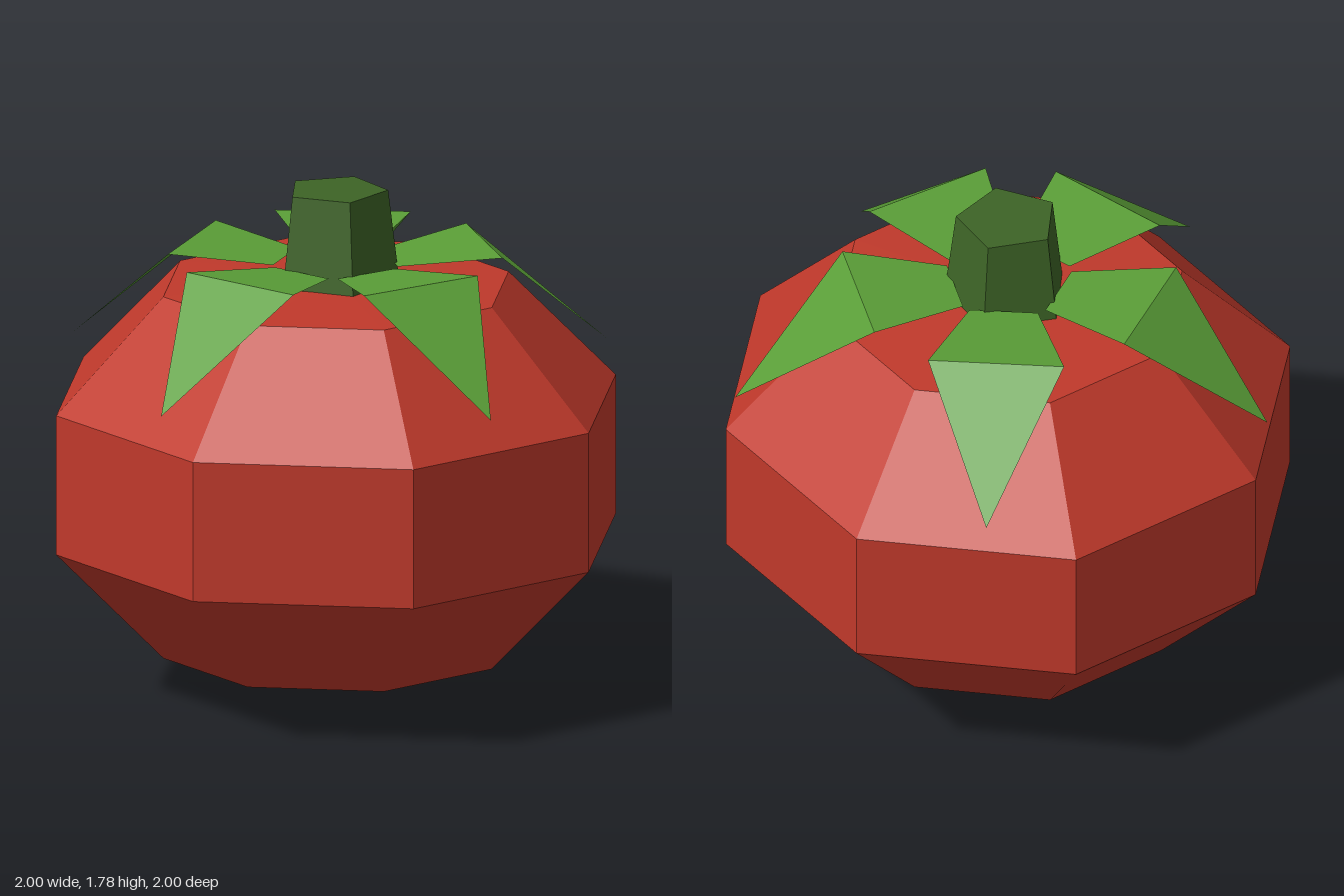
import * as THREE from 'three';

const flat = (color, name, side = THREE.FrontSide) =>
  Object.assign(new THREE.MeshStandardMaterial({ color, flatShading: true, side }), { name });

export function createModel() {
  const group = new THREE.Group();
  group.name = 'tomato';
  const red = flat(0xc0392b, 'tomato red');
  const leafGreen = flat(0x5a9e37, 'leaf green', THREE.DoubleSide);
  const stemGreen = flat(0x3d6426, 'stem green');

  // Fruit: eight-sided turned body, pointed underneath and nearly flat on top
  const profile = [[0, 0], [0.617, 0.155], [1, 0.553], [1, 1.05], [0.617, 1.447], [0, 1.468]]
    .map(([r, y]) => new THREE.Vector2(r, y));
  const fruit = new THREE.Mesh(new THREE.LatheGeometry(profile, 8), red);
  fruit.name = 'fruit';
  group.add(fruit);

  // Stem: tapered pentagonal stub
  const stem = new THREE.Mesh(new THREE.CylinderGeometry(0.18, 0.22, 0.335, 5), stemGreen);
  stem.name = 'stem';
  stem.position.y = 1.6175;
  group.add(stem);

  // Leaf: widening inner panel, then a tip folded down over the shoulder
  const leafGeometry = new THREE.BufferGeometry();
  leafGeometry.setAttribute('position', new THREE.Float32BufferAttribute([
    0.188, 1.527, 0.118, 0.53, 1.563, 0.235, 0.53, 1.563, -0.235,
    0.188, 1.527, -0.118, 0.967, 1.183, 0,
  ], 3));
  leafGeometry.setIndex([0, 1, 2, 0, 2, 3, 1, 4, 2]);
  leafGeometry.computeVertexNormals();

  // Five leaves around the stem
  const leaves = new THREE.Group();
  leaves.name = 'leaves';
  for (let i = 0; i < 5; i++) {
    const leaf = new THREE.Mesh(leafGeometry, leafGreen);
    leaf.name = 'leaf';
    leaf.rotation.y = (i * Math.PI * 2) / 5;
    leaves.add(leaf);
  }
  group.add(leaves);
  return group;
}
